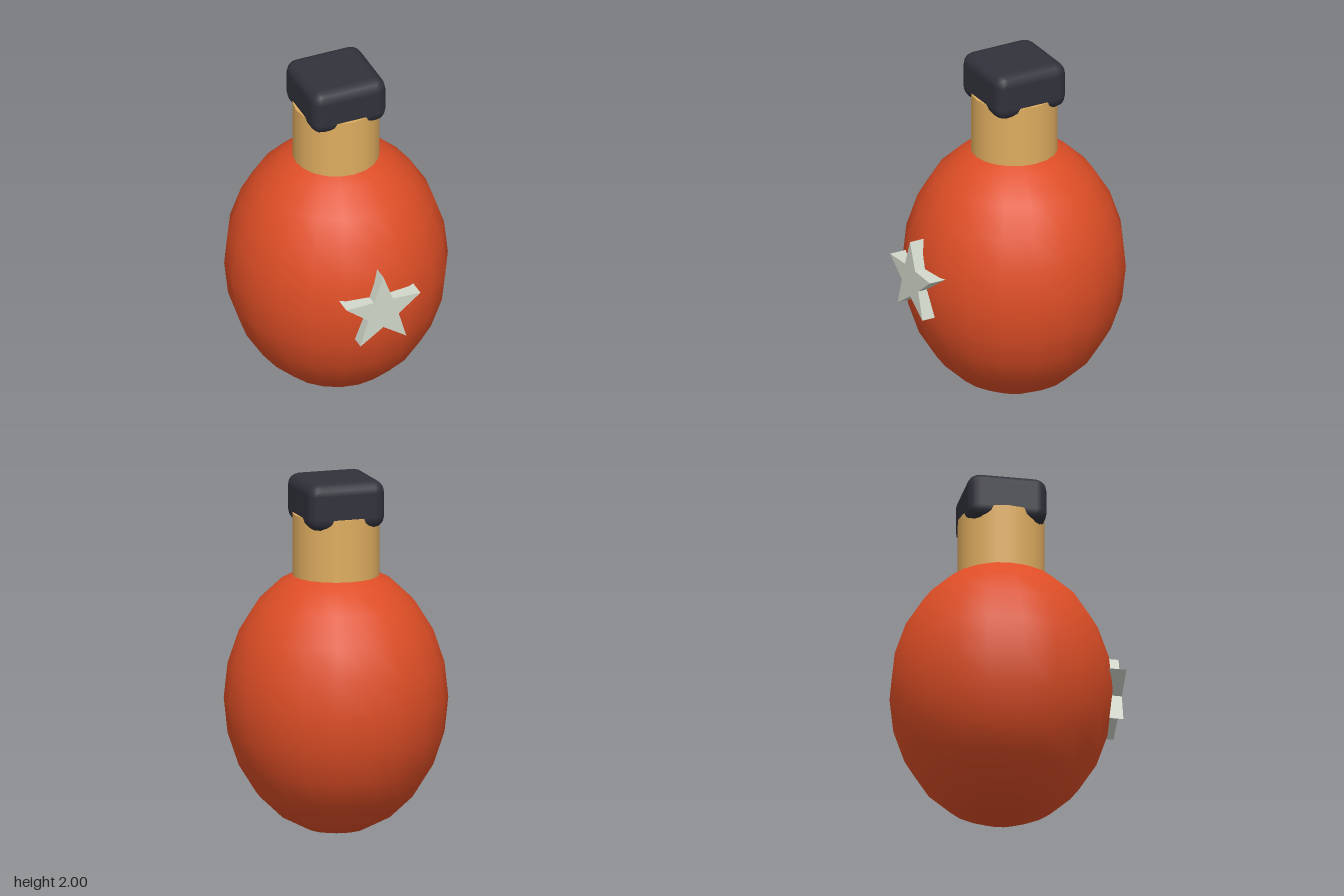
import * as THREE from 'three';
import { RoundedBoxGeometry } from 'three/addons/geometries/RoundedBoxGeometry.js';

const AXIS_Z = -0.02; // the flask axis sits slightly behind centre

function material(name, color) {
  const m = new THREE.MeshStandardMaterial({ color });
  m.name = name;
  return m;
}

function starShape(outer, inner) {
  const points = [];
  for (let i = 0; i < 10; i++) {
    const r = i % 2 ? inner : outer;
    const a = Math.PI / 2 + (i * Math.PI) / 5;
    points.push(new THREE.Vector2(r * Math.cos(a), r * Math.sin(a)));
  }
  return new THREE.Shape(points);
}

export function createModel() {
  const model = new THREE.Group();
  model.name = 'flask';

  function add(name, geometry, mat, y, z) {
    const mesh = new THREE.Mesh(geometry, mat);
    mesh.name = name;
    mesh.position.set(0, y, z);
    model.add(mesh);
  }

  // Egg-shaped body
  const body = new THREE.SphereGeometry(1, 20, 12);
  body.scale(0.617, 0.757, 0.617);
  add('body', body, material('red orange', 0xde4e26), 0.76, AXIS_Z);

  // Round neck, sunk into the body
  const neck = new THREE.CylinderGeometry(0.24, 0.24, 0.4, 20);
  add('neck', neck, material('tan', 0xdfad60), 1.597, AXIS_Z);

  // Square stopper with soft edges, overlapping the neck
  const stopper = new RoundedBoxGeometry(0.445, 0.268, 0.445, 2, 0.068);
  add('stopper', stopper, material('charcoal', 0x31323b), 1.866, AXIS_Z);

  // Raised star on the front
  const star = new THREE.ExtrudeGeometry(starShape(0.233, 0.096), { depth: 0.1, bevelEnabled: false });
  add('star', star, material('pale grey', 0xd2d8cb), 0.797, 0.538);

  return model;
}
